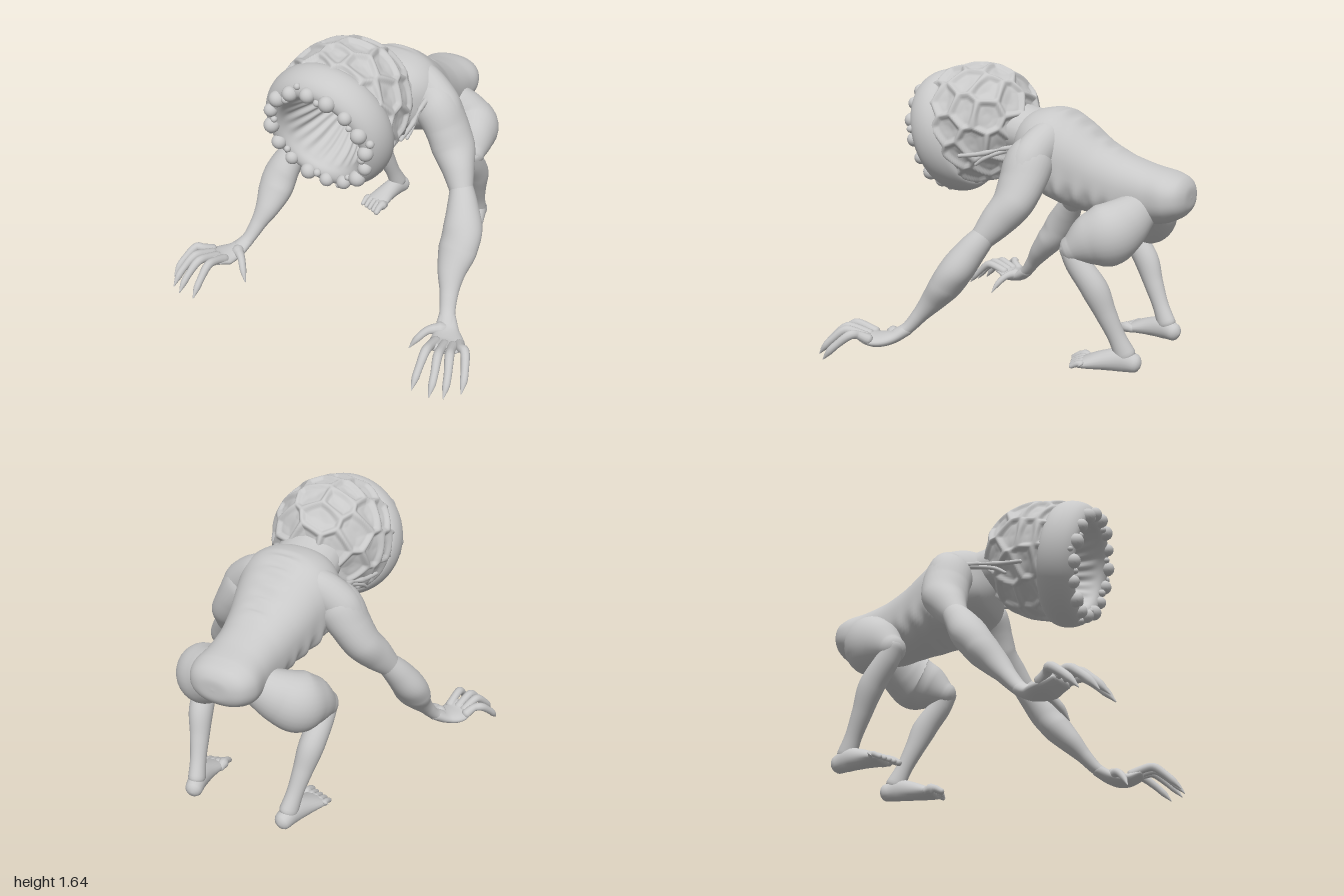
import * as THREE from 'three';

const V3 = (x, y, z) => new THREE.Vector3(x, y, z);
const skin = new THREE.MeshStandardMaterial({ color: 0xc8c8c8 });
skin.name = 'grey skin';

function add(parent, name, geometry) {
  const mesh = new THREE.Mesh(geometry, skin);
  mesh.name = name;
  parent.add(mesh);
  return mesh;
}

// Skin a list of closed rings, each running counterclockwise around the direction of travel
function loft(rings) {
  const n = rings[0].length, pos = [], idx = [];
  rings.forEach(r => r.forEach(p => pos.push(p.x, p.y, p.z)));
  for (let i = 0; i < rings.length - 1; i++) {
    for (let j = 0; j < n; j++) {
      const k = (j + 1) % n, a = i * n + j, b = i * n + k, c = a + n, d = b + n;
      idx.push(a, b, c, b, d, c);
    }
  }
  const g = new THREE.BufferGeometry();
  g.setAttribute('position', new THREE.Float32BufferAttribute(pos, 3));
  g.setIndex(idx);
  g.computeVertexNormals();
  return g;
}

// Rounded tapering limb through [x, y, z, side radius, other radius]; side = 1 or -1 mirrors it
function limb(pts, side = 1, sides = 20, steps = 7) {
  const path = new THREE.CatmullRomCurve3(pts.map(p => V3(p[0] * side, p[1], p[2])));
  const radii = new THREE.CatmullRomCurve3(pts.map(p => V3(p[3], p[4] ?? p[3], 0)));
  const rings = [], n = steps * (pts.length - 1);
  const ring = (t, phi) => {
    const c = path.getPoint(t), T = path.getTangent(t), r = radii.getPoint(t);
    const U = V3(0, 1, 0).cross(T).normalize(), W = T.clone().cross(U);
    c.addScaledVector(T, Math.sin(phi) * Math.min(r.x, r.y) * 0.8);
    const k = Math.cos(phi);
    rings.push(Array.from({ length: sides }, (_, j) => {
      const a = j / sides * Math.PI * 2;
      return c.clone().addScaledVector(U, Math.cos(a) * r.x * k).addScaledVector(W, Math.sin(a) * r.y * k);
    }));
  };
  for (const f of [-1.57, -1.2, -0.8, -0.4]) ring(0, f);
  for (let i = 0; i <= n; i++) ring(i / n, 0);
  for (const f of [0.4, 0.8, 1.2, 1.57]) ring(1, f);
  return loft(rings);
}

// Torso: [z, half width, top, bottom], with small spine knobs and rib ripples
function torso() {
  const rows = [[-0.962, 0, 0.945, 0.945], [-0.955, 0.1, 1.01, 0.88], [-0.92, 0.165, 1.055, 0.835],
    [-0.85, 0.2, 1.085, 0.8], [-0.74, 0.195, 1.11, 0.78], [-0.6, 0.2, 1.155, 0.77], [-0.45, 0.225, 1.23, 0.8],
    [-0.3, 0.265, 1.34, 0.84], [-0.18, 0.295, 1.4, 0.88], [-0.06, 0.28, 1.395, 0.94], [0.04, 0.21, 1.35, 1.0], [0.12, 0, 1.2, 1.2]];
  const a = new THREE.CatmullRomCurve3(rows.map(r => V3(r[0], r[1], 0)));
  const b = new THREE.CatmullRomCurve3(rows.map(r => V3(r[2], r[3], 0)));
  const rings = [], n = 110, m = 56;
  for (let i = 0; i <= n; i++) {
    const p = a.getPoint(i / n), q = b.getPoint(i / n), z = p.x;
    const w = Math.max(p.y, 0), h = Math.max(q.x - q.y, 0) / 2, mid = (q.x + q.y) / 2;
    const chest = THREE.MathUtils.smoothstep(z, -0.5, -0.25);
    const zone = THREE.MathUtils.smoothstep(z, -0.6, -0.5) * (1 - THREE.MathUtils.smoothstep(z, -0.22, -0.12));
    rings.push(Array.from({ length: m }, (_, j) => {
      const t = j / m * Math.PI * 2, c = Math.cos(t), s = Math.sin(t);
      const e = v => Math.sign(v) * Math.abs(v) ** (s < 0 ? 0.88 - 0.2 * chest : 0.88);
      const spine = 0.008 * Math.sin(z * 80) * Math.max(0, s) ** 30;
      const ribs = 0.04 * Math.sin(z * 62 + s * 2) * Math.exp(-(((s + 0.45) / 0.25) ** 2));
      return V3(w * e(c) * (1 + zone * ribs), mid + h * e(s) * (1 + zone * ribs) + zone * spine, z);
    }));
  }
  return loft(rings);
}

// Back of the head: dome of revolution about z, sunk between ridges into irregular cells
function honeycombDome() {
  const prof = new THREE.CatmullRomCurve3([[-0.635, 0], [-0.62, 0.12], [-0.57, 0.215], [-0.49, 0.29], [-0.37, 0.345],
    [-0.25, 0.363], [-0.15, 0.358], [-0.08, 0.34]].map(([s, r]) => V3(r, 0, s)));
  const at = (t, a) => { const p = prof.getPointAt(t); return V3(p.x * Math.cos(a), p.x * Math.sin(a), p.z); };
  let seed = 7;
  const rnd = () => (seed = (seed * 16807) % 2147483647) / 2147483647 - 0.5;
  const seeds = [];
  [[0.03, 1], [0.23, 5], [0.43, 9], [0.61, 11], [0.78, 12], [0.94, 13]].forEach(([t, n], row) => {
    for (let i = 0; i < n; i++) seeds.push(at(t + rnd() * 0.05, (i + row * 0.5 + rnd() * 0.4) / n * Math.PI * 2));
  });
  const rings = [], n = 90, m = 220;
  for (let i = 0; i <= n; i++) {
    rings.push(Array.from({ length: m }, (_, j) => {
      const p = at(i / n, j / m * Math.PI * 2);
      let d1 = 9, d2 = 9;
      for (const s of seeds) {
        const d = p.distanceTo(s);
        if (d < d1) { d2 = d1; d1 = d; } else if (d < d2) d2 = d;
      }
      const g = d2 - d1;
      const depth = 0.022 * THREE.MathUtils.smoothstep(g, 0.008, 0.05) + 0.012 * THREE.MathUtils.smoothstep(g, 0.03, 0.16);
      const out = V3(p.x, p.y, p.z + 0.3).normalize();
      return p.addScaledVector(out, -depth);
    }));
  }
  return loft(rings);
}

// Thick lip that turns inward into a pleated funnel
function mouth() {
  const prof = new THREE.CatmullRomCurve3([[-0.18, 0.32], [-0.165, 0.352], [-0.12, 0.372], [-0.06, 0.372], [-0.005, 0.352], [0.028, 0.318],
    [0.034, 0.283], [0.015, 0.25], [-0.04, 0.228], [-0.14, 0.195], [-0.25, 0.14], [-0.33, 0.07], [-0.36, 0]].map(([s, r]) => V3(r, 0, s)));
  const rings = [], n = 72, m = 144;
  for (let i = 0; i <= n; i++) {
    const t = i / n, p = prof.getPoint(t), f = THREE.MathUtils.smoothstep(t, 0.6, 0.78);
    rings.push(Array.from({ length: m }, (_, j) => {
      const a = j / m * Math.PI * 2;
      const r = p.x * (1 + f * (0.035 * Math.sin(a * 22) + 0.025 * Math.sin(a * 9 + 1)));
      return V3(r * Math.cos(a), r * Math.sin(a) - 0.03 * f, p.z);
    }));
  }
  return loft(rings);
}

export function createModel() {
  const model = new THREE.Group();
  model.name = 'creature';
  add(model, 'torso', torso());

  // Head, tilted slightly downward
  const head = new THREE.Group();
  head.name = 'head';
  head.position.set(0, 1.22, 0.64);
  head.rotation.x = 0.253;
  model.add(head);
  add(head, 'honeycombDome', honeycombDome());

  // Mouth ring with beads around the lip
  const muzzle = new THREE.Group();
  muzzle.name = 'muzzle';
  muzzle.position.y = -0.016;
  head.add(muzzle);
  add(muzzle, 'mouth', mouth());
  const bead = (a, rad, r, z) => add(muzzle, 'lipBead', new THREE.SphereGeometry(r, 18, 12))
    .position.set(Math.sin(a) * rad, Math.cos(a) * rad, z);
  for (let i = 0; i < 16; i++) {
    const a = i / 16 * Math.PI * 2;
    bead(a, 0.298, 0.042 + 0.004 * Math.sin(i * 2.3), 0.032);
    if (i % 4 !== 1) bead(a + 0.2, i % 2 ? 0.335 : 0.272, 0.02 + 0.004 * Math.sin(i * 5), i % 2 ? 0.02 : 0.035);
  }
  add(model, 'neck', limb([[0, 1.2, -0.12, 0.24, 0.17], [0, 1.24, 0.02, 0.21, 0.15], [0, 1.27, 0.16, 0.2, 0.16]]));

  for (const side of [1, -1]) {
    const S = side === 1 ? 'left' : 'right';
    const part = (name, pts, sides, steps) => add(model, S + name, limb(pts, side, sides, steps));

    // Arm
    part('ShoulderBlade', [[0.1, 1.25, -0.18, 0.09, 0.11], [0.2, 1.22, -0.155, 0.105, 0.115], [0.31, 1.14, -0.125, 0.11, 0.115], [0.37, 1.06, -0.11, 0.1, 0.1]], 24);
    part('UpperArm', [[0.22, 1.18, -0.12, 0.1, 0.12], [0.3, 1.115, -0.11, 0.14, 0.135], [0.37, 1.01, -0.1, 0.138, 0.118],
      [0.43, 0.905, -0.075, 0.13, 0.11], [0.495, 0.81, -0.015, 0.095, 0.097], [0.555, 0.715, 0.05, 0.066, 0.068]], 28);
    part('Forearm', [[0.535, 0.755, 0.02, 0.062], [0.585, 0.66, 0.09, 0.088, 0.082], [0.63, 0.54, 0.17, 0.113, 0.095],
      [0.637, 0.45, 0.235, 0.112, 0.09], [0.645, 0.355, 0.315, 0.083, 0.07], [0.67, 0.265, 0.388, 0.054, 0.047],
      [0.7, 0.18, 0.46, 0.045, 0.036], [0.73, 0.14, 0.52, 0.05, 0.033]], 28);
    part('Palm', [[0.7, 0.175, 0.46, 0.045, 0.036], [0.74, 0.125, 0.54, 0.07, 0.036], [0.782, 0.115, 0.62, 0.098, 0.036],
      [0.8, 0.14, 0.7, 0.085, 0.026]], 24);
    [[0.735, 0.745, 0.75], [0.79, 0.82, 0.855], [0.835, 0.875, 0.925], [0.86, 0.925, 0.99]].forEach(([x0, x1, x2], i) => {
      const back = i === 3 ? 0.11 : i === 2 ? 0.03 : 0;
      part('Finger', [[x0, 0.135, 0.66 - back * 0.4, 0.03], [(x0 + x1) / 2, 0.162, 0.73 - back * 0.6, 0.025],
        [x1, 0.17, 0.795 - back, 0.026], [x1 * 0.4 + x2 * 0.6, 0.115, 0.865 - back, 0.022],
        [x1 * 0.15 + x2 * 0.85, 0.075, 0.905 - back, 0.021], [x2, 0.02, 0.95 - back, 0.003]], 12, 4);
    });
    part('Thumb', [[0.74, 0.13, 0.53, 0.03], [0.69, 0.14, 0.57, 0.03], [0.65, 0.13, 0.6, 0.023],
      [0.61, 0.085, 0.64, 0.02], [0.575, 0.025, 0.67, 0.003]], 12, 4);

    // Hind leg
    part('Thigh', [[0.12, 0.86, -0.69, 0.11, 0.12], [0.22, 0.805, -0.65, 0.14, 0.155], [0.3, 0.76, -0.595, 0.16, 0.175],
      [0.345, 0.725, -0.51, 0.13, 0.145], [0.378, 0.675, -0.42, 0.085, 0.08]], 28);
    part('Shin', [[0.38, 0.685, -0.405, 0.07, 0.055], [0.38, 0.6, -0.455, 0.07, 0.068], [0.367, 0.47, -0.55, 0.072, 0.076],
      [0.345, 0.33, -0.612, 0.058, 0.06], [0.325, 0.2, -0.67, 0.048, 0.05], [0.31, 0.1, -0.715, 0.052, 0.06]], 24);
    part('Foot', [[0.3, 0.055, -0.765, 0.052, 0.054], [0.315, 0.068, -0.7, 0.056, 0.067], [0.335, 0.056, -0.6, 0.066, 0.055],
      [0.35, 0.036, -0.5, 0.082, 0.034], [0.353, 0.028, -0.47, 0.078, 0.024]], 20);
    for (let i = 0; i < 5; i++) {
      const x = 0.286 + i * 0.034, r = i === 0 ? 0.024 : 0.018, z = -0.395 - i * 0.012;
      part('Toe', [[x, 0.036, -0.5, r], [x + 0.003, 0.045, z - 0.05, r], [x + 0.006, 0.022, z, r * 0.75]], 10, 4);
    }

    // Cords joining shoulder and head
    part('UpperCord', [[0.27, 1.2, -0.06, 0.02], [0.285, 1.18, 0.07, 0.014], [0.305, 1.145, 0.2, 0.014], [0.318, 1.125, 0.34, 0.012]], 10);
    part('LowerCord', [[0.27, 1.19, -0.04, 0.016], [0.28, 1.16, 0.08, 0.013], [0.3, 1.12, 0.18, 0.012], [0.3, 1.08, 0.24, 0.01]], 10);
  }
  return model;
}
